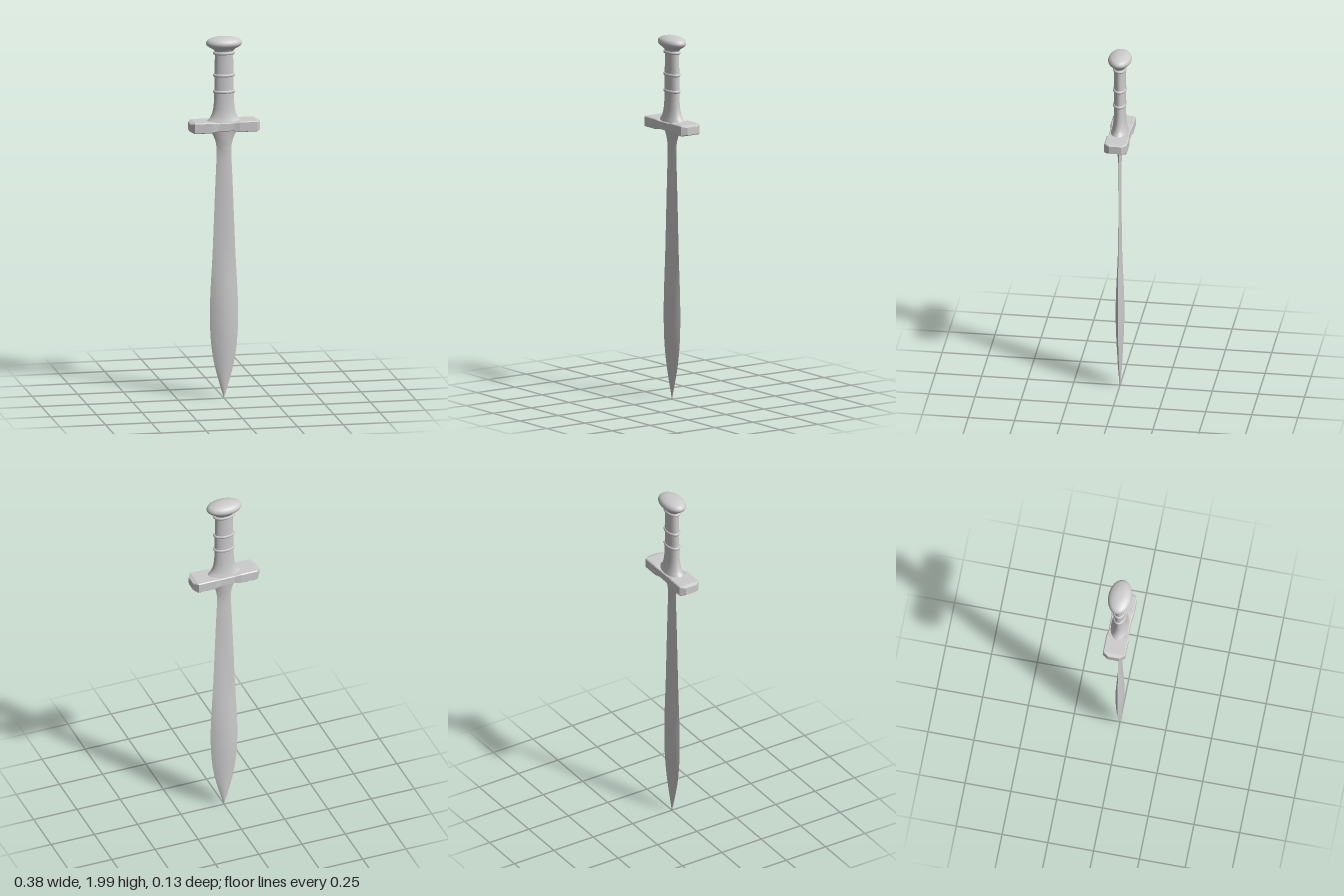
import * as THREE from 'three';
import { mergeVertices } from 'three/addons/utils/BufferGeometryUtils.js';

const material = new THREE.MeshStandardMaterial({ color: 0xcccccc });

// Skin through stations [halfWidth, y, halfDepth], each a scaled copy of a unit section.
function loft(stations, section) {
  const n = section.length;
  const pos = [], index = [];
  for (const [rx, y, rz] of stations) {
    for (const [sx, sz] of section) pos.push(rx * sx, y, rz * sz);
  }
  for (let i = 0; i < stations.length - 1; i++) {
    for (let j = 0; j < n - 1; j++) {
      const a = i * n + j, b = a + 1, c = a + n, d = c + 1;
      index.push(a, c, b, b, c, d);
    }
  }
  const geo = new THREE.BufferGeometry();
  geo.setAttribute('position', new THREE.Float32BufferAttribute(pos, 3));
  geo.setIndex(index);
  const welded = mergeVertices(geo, 1e-5);
  welded.computeVertexNormals();
  return welded;
}

// Smooth the stations with a spline.
function smooth(stations, count) {
  const curve = new THREE.CatmullRomCurve3(stations.map((s) => new THREE.Vector3(...s)));
  return curve.getPoints(count).map((p) => [Math.max(p.x, 0), p.y, Math.max(p.z, 0)]);
}

// Unit section from an angle sweep.
function sweep(count, end, fn) {
  return Array.from({ length: count + 1 }, (_, i) => fn((i / count) * end));
}
const ellipse = sweep(40, Math.PI * 2, (a) => [Math.cos(a), Math.sin(a)]);
const halfLens = sweep(16, Math.PI, (a) => [Math.cos(a), Math.sin(a) ** 2]);

function add(group, name, geometry) {
  const mesh = new THREE.Mesh(geometry, material);
  mesh.name = name;
  group.add(mesh);
  return mesh;
}

export function createModel() {
  const group = new THREE.Group();
  group.name = 'sword';

  // Leaf-shaped blade: two curved faces meeting at sharp edges
  const bladeFace = loft(smooth([
    [0, 0.01, 0.002], [0.027, 0.1, 0.009], [0.053, 0.2, 0.014], [0.069, 0.3, 0.019],
    [0.076, 0.4, 0.022], [0.077, 0.5, 0.022], [0.074, 0.6, 0.019], [0.063, 0.8, 0.01],
    [0.055, 1.0, 0.007], [0.047, 1.2, 0.007], [0.041, 1.34, 0.008], [0.041, 1.39, 0.012],
    [0.048, 1.43, 0.017], [0.06, 1.46, 0.02], [0.08, 1.495, 0.024],
  ], 90), halfLens);
  add(group, 'bladeFront', bladeFace);
  add(group, 'bladeBack', bladeFace.clone().rotateY(Math.PI));

  // Faceted crossguard: chamfered section run along x, tapered ends, slight waist
  const octagon = [[1, 0.91], [0.84, 1], [-0.84, 1], [-1, 0.91],
    [-1, -0.91], [-0.84, -1], [0.84, -1], [1, -0.91], [1, 0.91]];
  octagon.reverse();
  const half = [[0.023, 0.04, 0.055], [0.029, 0.075, 0.061], [0.029, 0.17, 0.061],
    [0.021, 0.191, 0.032], [0, 0.191, 0]];
  const guardStations = [...half.map(([h, x, d]) => [h, -x, d]).reverse(), ...half];
  const clockwiseFixed = octagon.slice().reverse().map(([h, d]) => [h, -d]).reverse();
  const guard = loft(guardStations, clockwiseFixed).toNonIndexed();
  guard.rotateZ(-Math.PI / 2).translate(0, 1.512, 0);
  guard.computeVertexNormals();
  add(group, 'crossguard', guard);

  // Oval grip flaring into the guard
  add(group, 'grip', loft(smooth([
    [0.105, 1.525, 0.05], [0.092, 1.54, 0.046], [0.074, 1.56, 0.041], [0.062, 1.59, 0.036],
    [0.056, 1.63, 0.033], [0.053, 1.7, 0.031], [0.052, 1.8, 0.031], [0.05, 1.9, 0.031],
    [0.051, 1.94, 0.033],
  ], 40), ellipse));

  // Raised bands round the grip
  for (const y of [1.7, 1.79, 1.912]) {
    const band = new THREE.TorusGeometry(0.053, 0.008, 10, 40);
    band.rotateX(Math.PI / 2).scale(1, 1, 0.61);
    add(group, 'gripBand', band).position.y = y;
  }

  // Flattened oval pommel
  add(group, 'pommel', loft(smooth([
    [0.05, 1.922, 0.032], [0.061, 1.933, 0.038], [0.08, 1.944, 0.05], [0.094, 1.955, 0.06],
    [0.098, 1.967, 0.063], [0.09, 1.982, 0.057], [0.065, 1.993, 0.041],
    [0.034, 1.999, 0.021], [0, 2, 0],
  ], 32), ellipse));

  return group;
}
